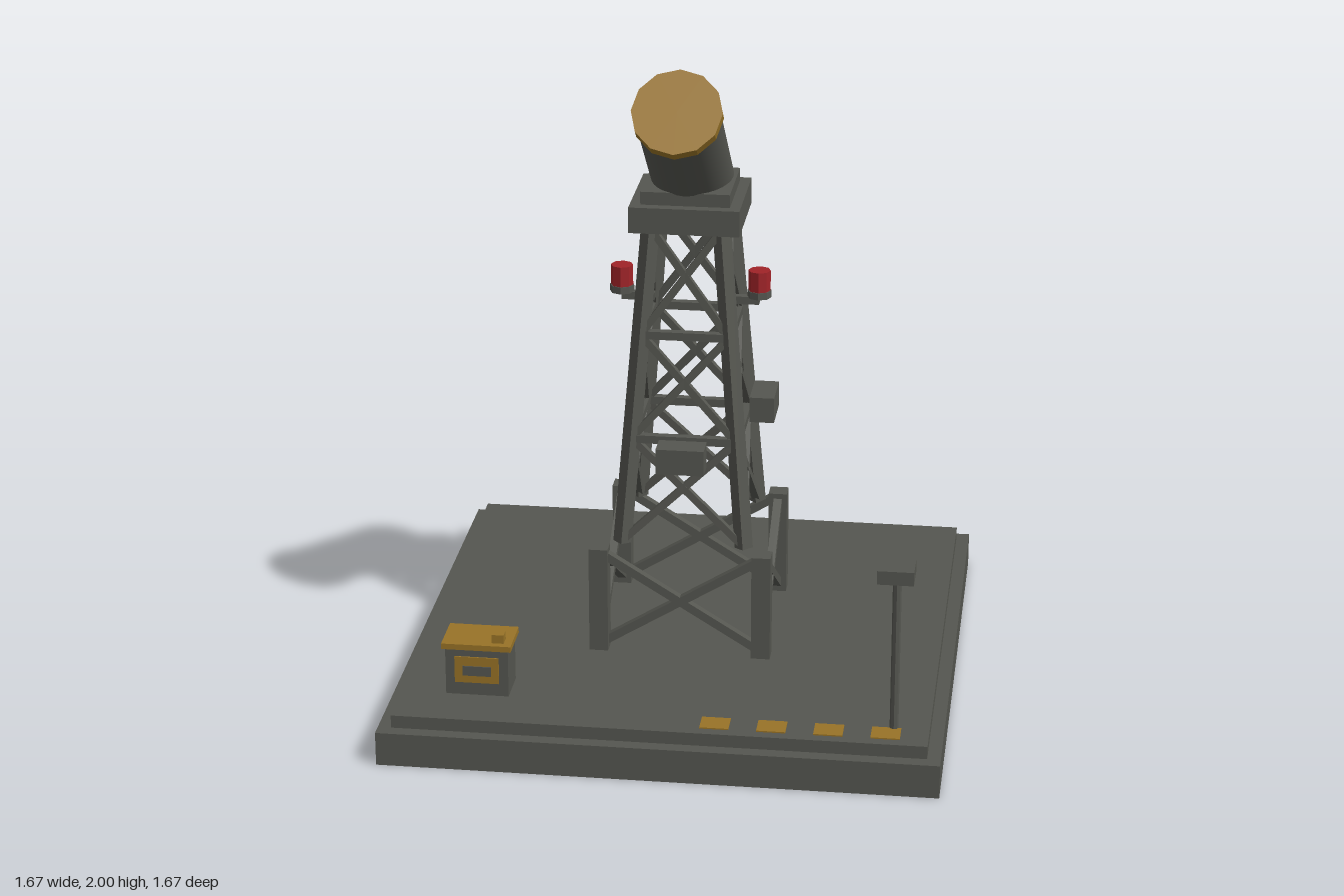
import * as THREE from 'three';

export function createModel() {
  const model = new THREE.Group();
  const paint = (name, color, flatShading = false) =>
    Object.assign(new THREE.MeshStandardMaterial({ color, flatShading }), { name });
  const grey = paint('steel grey', 0x555650);
  const gold = paint('ochre', 0x987327);
  const red = paint('lamp red', 0xa02328);

  const add = (parent, name, geometry, material) => {
    const mesh = new THREE.Mesh(geometry, material);
    mesh.name = name;
    parent.add(mesh);
    return mesh;
  };
  // Box given by its ranges along x, y and z
  const box = (parent, name, [x0, x1], [y0, y1], [z0, z1], material = grey) => {
    const mesh = add(parent, name, new THREE.BoxGeometry(x1 - x0, y1 - y0, z1 - z0), material);
    mesh.position.set((x0 + x1) / 2, (y0 + y1) / 2, (z0 + z1) / 2);
    return mesh;
  };
  // Square bar between two points, optionally turned about its length
  const up = new THREE.Vector3(0, 1, 0);
  const beam = (parent, name, from, to, width, turn = 0) => {
    const a = new THREE.Vector3(...from), b = new THREE.Vector3(...to);
    const dir = b.clone().sub(a);
    const geometry = new THREE.BoxGeometry(width, dir.length(), width).rotateY(turn);
    const mesh = add(parent, name, geometry, grey);
    mesh.position.copy(a).add(b).multiplyScalar(0.5);
    mesh.quaternion.setFromUnitVectors(up, dir.normalize());
    return mesh;
  };
  const disc = (parent, name, r, [y0, y1], x, z, sides, material) => {
    const mesh = add(parent, name, new THREE.CylinderGeometry(r, r, y1 - y0, sides).toNonIndexed(), material);
    mesh.geometry.computeVertexNormals();
    mesh.position.set(x, (y0 + y1) / 2, z);
    return mesh;
  };

  // Stepped base
  box(model, 'baseSlab', [-0.835, 0.835], [0, 0.105], [-0.835, 0.835]);
  box(model, 'baseDeck', [-0.795, 0.795], [0.105, 0.145], [-0.795, 0.795]);

  // Tower: one side with its corner legs, repeated around four times
  const spread = y => 0.187 - (y - 0.48) * 0.08;
  const levels = [0.48, 0.81, 1.138, 1.47];
  for (let i = 0; i < 4; i++) {
    const side = new THREE.Group();
    side.name = 'towerSide';
    side.rotation.y = i * Math.PI / 2;
    model.add(side);
    box(side, 'footPost', [0.221, 0.279], [0.145, 0.482], [0.221, 0.279]);
    const lo = spread(0.475), hi = spread(1.475);
    beam(side, 'towerLeg', [lo, 0.475, lo], [hi, 1.475, hi], 0.04, Math.PI / 4);
    for (const s of [-1, 1]) {
      beam(side, 'footBrace', [-s * 0.25, 0.16, 0.25], [s * 0.25, 0.468, 0.25], 0.026);
      for (let k = 0; k < 3; k++) {
        const a = spread(levels[k]), b = spread(levels[k + 1]);
        beam(side, 'crossBrace', [-s * a, levels[k], a], [s * b, levels[k + 1], b], 0.022);
      }
    }
    for (const y of levels.slice(1, 3)) {
      const w = spread(y);
      beam(side, 'crossbar', [-w, y, w], [w, y, w], 0.025);
    }
  }

  // Platform
  box(model, 'platform', [-0.166, 0.166], [1.468, 1.548], [-0.166, 0.166]);
  box(model, 'platformTop', [-0.134, 0.134], [1.548, 1.588], [-0.134, 0.134]);

  // Tilted barrel with front cover
  const barrel = new THREE.Group();
  barrel.name = 'barrel';
  barrel.position.set(0, 1.552, -0.09);
  barrel.rotation.x = THREE.MathUtils.degToRad(50);
  model.add(barrel);
  add(barrel, 'barrelTube', new THREE.CylinderGeometry(0.124, 0.124, 0.505, 32), grey).position.y = 0.2525;
  disc(barrel, 'barrelCover', 0.134, [0.498, 0.533], 0, 0, 12, gold);

  // Warning lamps on brackets
  for (const s of [-1, 1]) {
    beam(model, 'lampBracket', [s * 0.11, 1.214, 0], [s * 0.21, 1.214, 0], 0.024);
    disc(model, 'lampBase', 0.037, [1.225, 1.247], s * 0.21, 0, 8, grey);
    disc(model, 'lamp', 0.034, [1.247, 1.31], s * 0.21, 0, 8, red);
  }

  // Equipment boxes on the tower
  box(model, 'sideBox', [0.19, 0.265], [0.843, 0.923], [-0.073, 0.073]);
  box(model, 'frontBox', [-0.073, 0.073], [0.738, 0.818], [0.19, 0.268]);

  // Lamp post
  disc(model, 'lampPost', 0.013, [0.145, 0.655], 0.69, 0.69, 8, grey);
  box(model, 'lampPostHead', [0.637, 0.743], [0.65, 0.692], [0.68, 0.785]);

  // Hut with framed window
  box(model, 'hut', [-0.66, -0.47], [0.145, 0.297], [0.505, 0.628]);
  box(model, 'hutRoof', [-0.67, -0.46], [0.295, 0.313], [0.494, 0.637], gold);
  box(model, 'hutChimney', [-0.521, -0.484], [0.313, 0.34], [0.58, 0.616], gold);
  box(model, 'windowFrame', [-0.632, -0.498], [0.186, 0.27], [0.626, 0.632], gold);
  box(model, 'windowPane', [-0.607, -0.521], [0.21, 0.241], [0.628, 0.635]);

  // Painted marks on the deck
  for (let i = 0; i < 4; i++) {
    const x = 0.165 + i * 0.168;
    box(model, 'deckMark', [x - 0.043, x + 0.043], [0.143, 0.149], [0.693, 0.763], gold);
  }
  return model;
}
